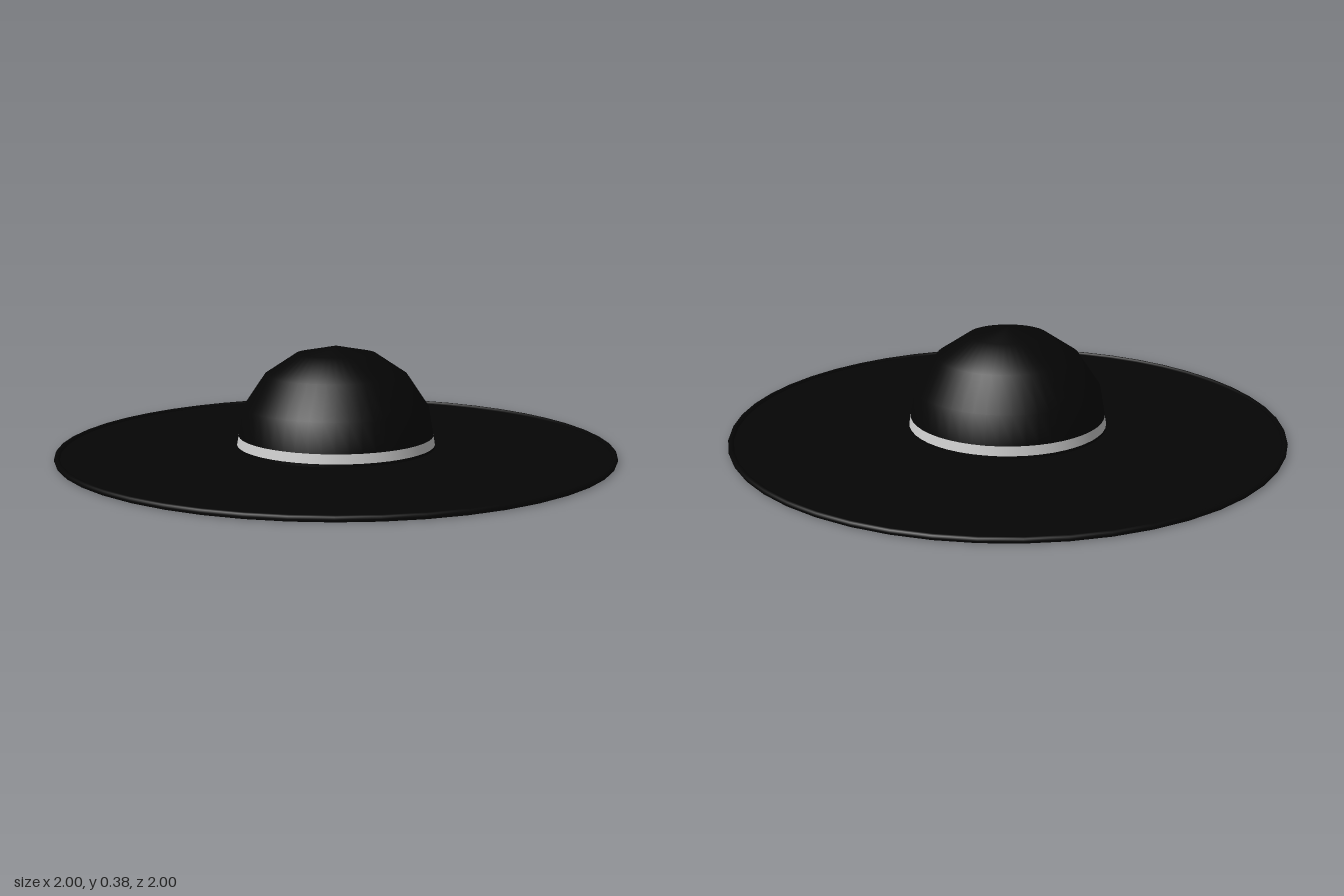
import * as THREE from 'three';

const SIDES = 48;

export function createModel() {
  const hat = new THREE.Group();
  hat.name = 'wideBrimHat';
  const black = new THREE.MeshStandardMaterial({ color: 0x050505, side: THREE.DoubleSide });
  const pale = new THREE.MeshStandardMaterial({ color: 0xcccccc, side: THREE.DoubleSide });

  // Every part is a thin surface turned about the y axis, from [radius, height] points.
  const turned = (name, points, material) => {
    const profile = points.map(([r, y]) => new THREE.Vector2(r, y));
    const mesh = new THREE.Mesh(new THREE.LatheGeometry(profile, SIDES), material);
    mesh.name = name;
    hat.add(mesh);
  };

  // Flat brim, open in the middle, and the short dark wall under the band
  turned('brim', [[0.99, 0.01], [0.36, 0.01]], black);
  turned('crownBase', [[0.36, 0.01], [0.36, 0.02]], black);

  // Rolled edge around the brim
  const edge = new THREE.Mesh(new THREE.TorusGeometry(0.99, 0.01, 8, SIDES), black);
  edge.name = 'brimEdge';
  edge.rotation.x = Math.PI / 2;
  edge.position.y = 0.01;
  hat.add(edge);

  // Pale band, visible inside and out
  turned('band', [[0.36, 0.02], [0.354, 0.053]], pale);

  // Hollow domed crown
  turned('crown', [[0.354, 0.053], [0.336, 0.157], [0.257, 0.274], [0.143, 0.349], [0, 0.376]], black);

  return hat;
}
